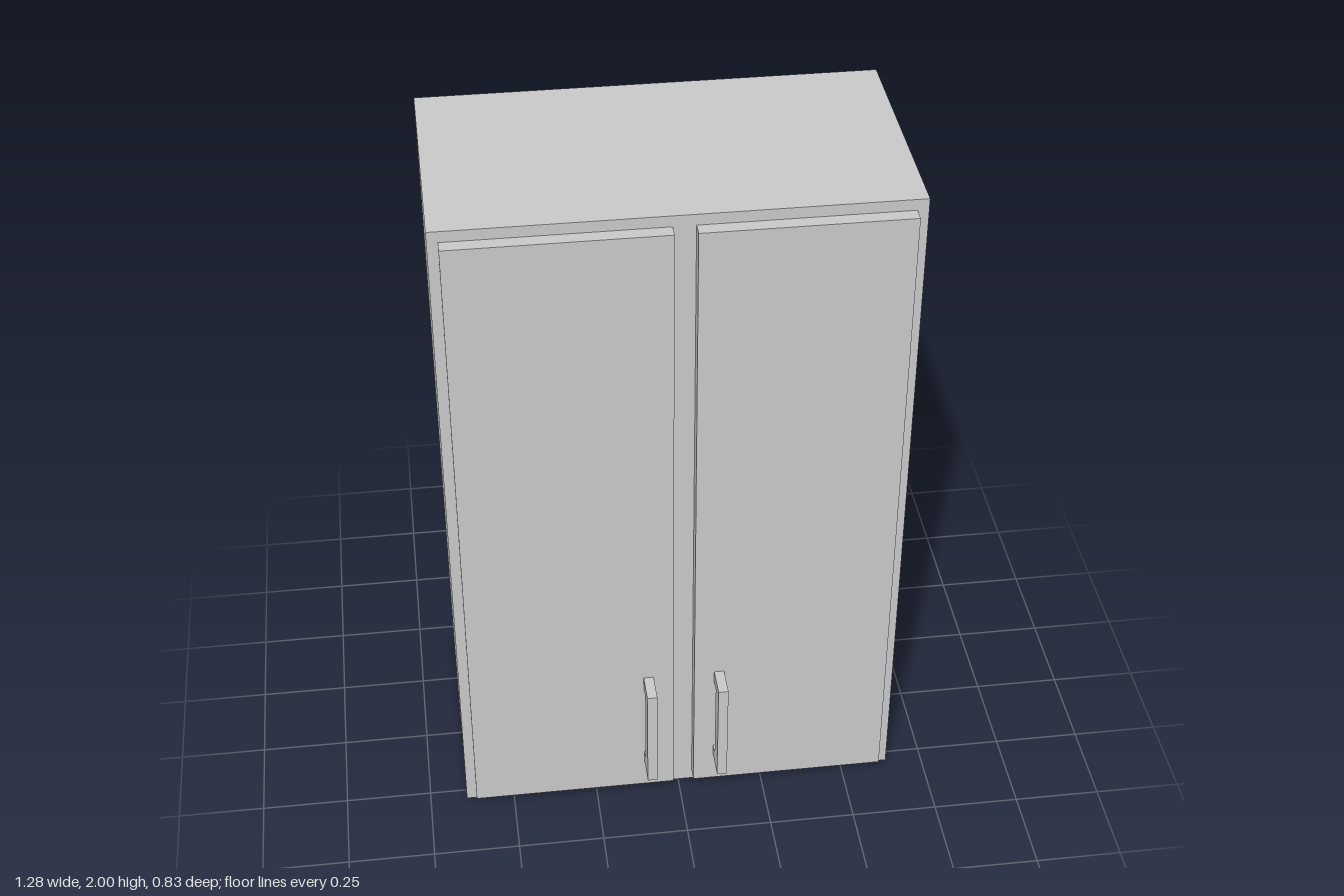
import * as THREE from 'three';

const material = new THREE.MeshStandardMaterial({ color: 0xcccccc });

// Box given by its limits along each axis
function box(name, [x0, x1], [y0, y1], [z0, z1]) {
  const geometry = new THREE.BoxGeometry(x1 - x0, y1 - y0, z1 - z0);
  geometry.translate((x0 + x1) / 2, (y0 + y1) / 2, (z0 + z1) / 2);
  const mesh = new THREE.Mesh(geometry, material);
  mesh.name = name;
  return mesh;
}

// C-shaped pull: side profile in (z, y), extruded across its width
function handle(name, x) {
  const width = 0.029;
  const profile = new THREE.Shape([
    [0.325, 0.135], [0.413, 0.135], [0.413, 0.466], [0.325, 0.466],
    [0.325, 0.427], [0.36, 0.427], [0.36, 0.17], [0.325, 0.17],
  ].map(([z, y]) => new THREE.Vector2(z, y)));
  const geometry = new THREE.ExtrudeGeometry(profile, { depth: width, bevelEnabled: false });
  geometry.translate(0, 0, -width / 2);
  geometry.rotateY(-Math.PI / 2);
  const mesh = new THREE.Mesh(geometry, material);
  mesh.name = name;
  mesh.position.x = x;
  return mesh;
}

export function createModel() {
  const cabinet = new THREE.Group();
  cabinet.name = 'wallCabinet';

  // Carcass
  cabinet.add(box('cabinetBody', [-0.642, 0.642], [0, 2], [-0.413, 0.285]));

  // Doors with their pulls
  const doors = [
    { side: 'right', x: [-0.613, -0.02], pull: -0.093 },
    { side: 'left', x: [0.041, 0.611], pull: 0.114 },
  ];
  for (const { side, x, pull } of doors) {
    cabinet.add(box(`${side}Door`, x, [0.035, 1.968], [0.285, 0.325]));
    cabinet.add(handle(`${side}Handle`, pull));
  }
  return cabinet;
}
